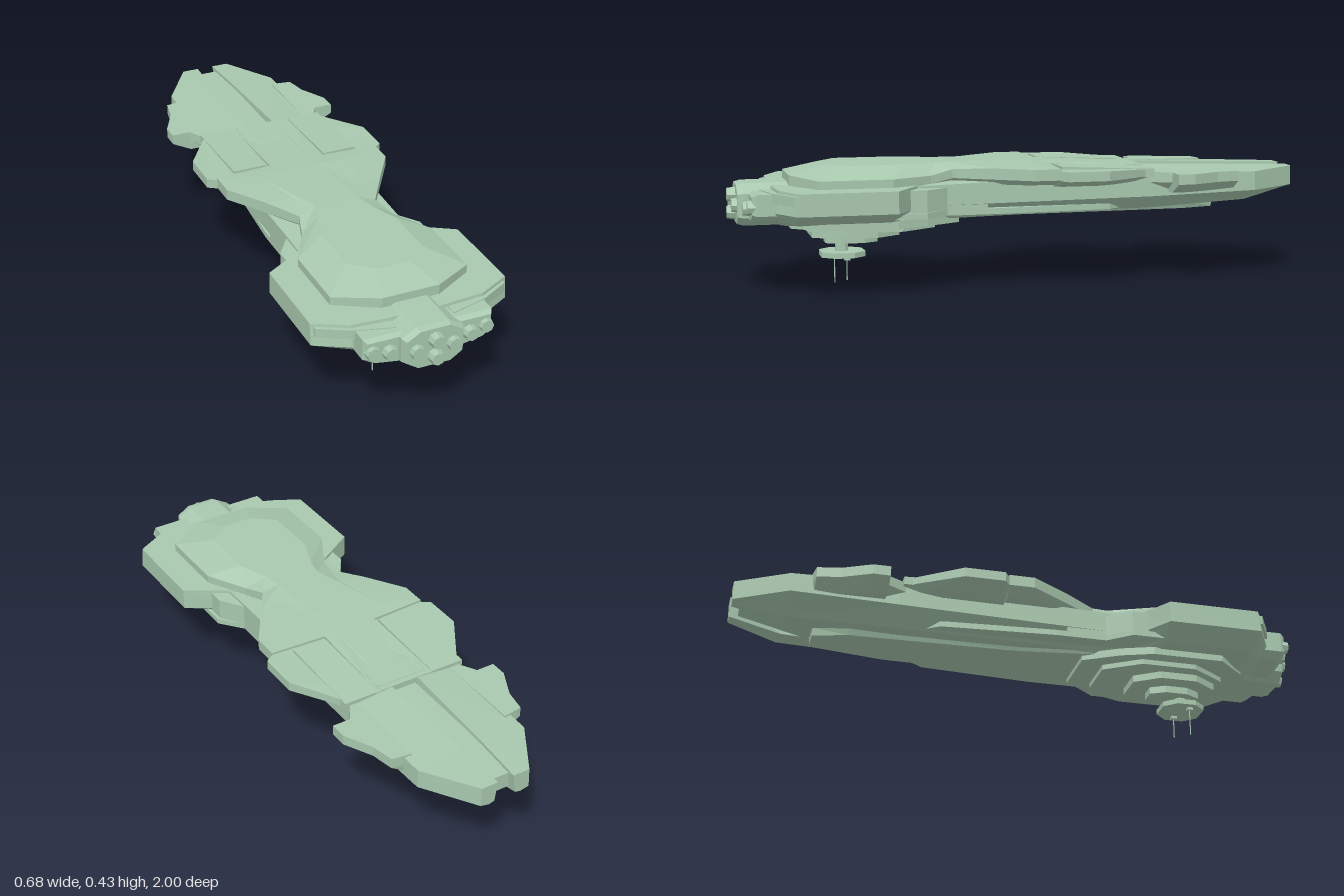
import * as THREE from 'three';

const hullGreen = new THREE.MeshStandardMaterial({ color: 0xa8c8ae, flatShading: true });
hullGreen.name = 'hullGreen';

// Closed skin over rings of [x, y, z]; the caps are flattened along the given axis.
function skin(rings, axis) {
  const pos = [];
  const tri = (a, b, c) => pos.push(...a, ...b, ...c);
  const n = rings[0].length;
  for (let r = 0; r + 1 < rings.length; r++) {
    const lo = rings[r], hi = rings[r + 1];
    for (let i = 0; i < n; i++) {
      const j = (i + 1) % n;
      tri(lo[i], lo[j], hi[j]);
      tri(lo[i], hi[j], hi[i]);
    }
  }
  const cap = (ring, last) => {
    const flat = ring.map(p => new THREE.Vector2(p[0], axis === 'y' ? p[2] : p[1]));
    for (const t of THREE.ShapeUtils.triangulateShape(flat, [])) {
      const [a, b, c] = [...t].sort((u, v) => u - v).map(i => ring[i]);
      last ? tri(a, b, c) : tri(a, c, b);
    }
  };
  cap(rings[0], false);
  cap(rings[rings.length - 1], true);
  // Turn the skin outward if its signed volume is negative
  let volume = 0;
  const p = i => new THREE.Vector3().fromArray(pos, i * 3);
  for (let i = 0; i < pos.length / 3; i += 3) volume += p(i).dot(p(i + 1).cross(p(i + 2)));
  if (volume < 0) {
    for (let i = 0; i < pos.length; i += 9) {
      const b = pos.slice(i + 3, i + 6);
      for (let k = 0; k < 3; k++) {
        pos[i + 3 + k] = pos[i + 6 + k];
        pos[i + 6 + k] = b[k];
      }
    }
  }
  const g = new THREE.BufferGeometry();
  g.setAttribute('position', new THREE.Float32BufferAttribute(pos, 3));
  g.computeVertexNormals();
  return g;
}

// Half plan outline (x > 0, bow to stern) mirrored to a full one
const full = half => [...half, ...half.map(([x, z]) => [-x, z]).reverse()];

// Plan outline stacked at levels [y or y(x, z), x scale, z scale, z centre]
const tiers = (outline, levels) => skin(levels.map(([y, kx = 1, kz = 1, zc = 0]) =>
  outline.map(([x, z]) => [x * kx, typeof y === 'function' ? y(Math.abs(x), z) : y, zc + (z - zc) * kz])), 'y');

// Cross-sections [z, [[x, y], ...]] joined along z
const loft = sections => skin(sections.map(([z, pts]) => pts.map(([x, y]) => [x, y, z])), 'z');

export function createModel() {
  const model = new THREE.Group();
  const add = (name, geo, x = 0, y = 0, z = 0) => {
    const m = new THREE.Mesh(geo, hullGreen);
    m.name = name;
    m.position.set(x, y, z);
    model.add(m);
    return m;
  };
  const box = (name, w, y0, y1, z0, z1, x = 0) =>
    add(name, new THREE.BoxGeometry(w, y1 - y0, z1 - z0), x, (y0 + y1) / 2, (z0 + z1) / 2);

  // Bow hull halves, with slanted undersides and a groove between them
  const bow = [
    [-1, [[0.04, 0.31], [0.06, 0.305], [0.092, 0.312], [0.09, 0.38], [0.03, 0.38]]],
    [-0.82, [[0.04, 0.265], [0.1, 0.265], [0.205, 0.31], [0.205, 0.376], [0.04, 0.385]]],
    [-0.45, [[0.04, 0.25], [0.13, 0.25], [0.21, 0.3], [0.21, 0.382], [0.05, 0.397]]],
    [0.3, [[0.04, 0.245], [0.13, 0.245], [0.2, 0.29], [0.2, 0.36], [0.05, 0.37]]],
    [0.6, [[0.04, 0.245], [0.13, 0.245], [0.2, 0.29], [0.2, 0.35], [0.05, 0.35]]],
  ];
  for (const s of [1, -1]) {
    const side = s > 0 ? 'left' : 'right';
    const flip = pts => pts.map(([x, y]) => [x * s, y]);
    add(side + 'BowHull', loft(bow.map(([z, pts]) => [z, flip(pts)])));

    // Swept pod beside the bow
    add(side + 'BowPod', tiers(flip([[0.18, -0.75], [0.25, -0.74], [0.265, -0.66], [0.315, -0.56],
      [0.315, -0.5], [0.25, -0.5], [0.21, -0.43], [0.18, -0.43]]),
    [[0.315, 0.78], [0.35], [0.385]]));

    // Shoulder plate and the raised block on it
    add(side + 'ShoulderPlate', tiers(flip([[0.08, -0.44], [0.21, -0.44], [0.33, -0.25], [0.33, -0.11],
      [0.3, -0.09], [0.08, -0.05]]), [[0.345, 0.7], [0.372], [(x, z) => 0.405 - Math.max(0, -z - 0.25) * 0.05]]));
    add(side + 'ShoulderBlock', tiers(flip([[0.11, -0.44], [0.23, -0.44], [0.23, -0.11], [0.11, -0.11]]),
      [[0.37], [(x, z) => (z < -0.3 ? 0.398 : 0.413)]]));

    // Ledges low on the flank
    add(side + 'FlankLedge', tiers(flip([[0.1, -0.4], [0.17, -0.3], [0.2, 0.1], [0.2, 0.28],
      [0.265, 0.36], [0.265, 0.5], [0.1, 0.55]]), [[0.255], [0.275]]));
    add(side + 'NeckBlock', tiers(flip([[0.1, 0.14], [0.2, 0.14], [0.2, 0.28], [0.255, 0.36],
      [0.255, 0.5], [0.1, 0.5]]), [[0.275], [0.35]]));

    // Side strips on the stern corners
    add(side + 'SternStrip', tiers(flip([[0.1, 0.8], [0.33, 0.77], [0.33, 0.81], [0.23, 0.865], [0.1, 0.9]]),
      [[0.318], [0.35]]));

    // Outer engine block
    add(side + 'EngineBlock', loft([[0.78, flip([[0.08, 0.235], [0.19, 0.255], [0.222, 0.275], [0.222, 0.347], [0.08, 0.347]])],
      [0.92, flip([[0.08, 0.235], [0.19, 0.255], [0.222, 0.275], [0.222, 0.347], [0.08, 0.347]])],
      [0.935, flip([[0.08, 0.245], [0.185, 0.262], [0.212, 0.28], [0.212, 0.337], [0.08, 0.337]])]]));
  }
  add('grooveFloor', loft([
    [-0.97, [[-0.042, 0.315], [0.042, 0.315], [0.042, 0.37], [-0.042, 0.37]]],
    [-0.75, [[-0.042, 0.262], [0.042, 0.262], [0.042, 0.375], [-0.042, 0.375]]],
    [0.3, [[-0.042, 0.25], [0.042, 0.25], [0.042, 0.385], [-0.042, 0.385]]],
  ]));
  add('keel', tiers(full([[0.04, -0.72], [0.08, -0.6], [0.1, 0], [0.15, 0.3], [0.15, 0.6]]),
    [[0.235, 0.85], [0.262]]));

  // Stern body with a sloped belly
  const stern = full([[0.12, 0.3], [0.2, 0.38], [0.34, 0.47], [0.34, 0.8], [0.23, 0.86], [0.1, 0.87]]);
  add('sternBody', tiers(stern, [[0.225, 0.38, 0.88, 0.58], [0.248, 0.74, 0.95, 0.58], [0.272, 0.9], [0.285], [0.36, 1, 0.97, 0.5]]));

  // Hourglass upper deck: broad forward wings, narrow neck, domed rear
  const deck = full([[0.09, -0.44], [0.1, -0.38], [0.1, -0.1], [0.3, -0.09], [0.3, 0], [0.21, 0.14], [0.14, 0.25],
    [0.165, 0.33], [0.24, 0.47], [0.24, 0.72], [0.1, 0.8]]);
  const rim = (x, z) => (z < -0.3 ? 0.398 : z < 0.2 ? 0.413 : z < 0.3 ? 0.405 : z < 0.78 ? 0.388 : 0.395);
  const crown = (x, z) => (z < -0.3 ? 0.402 : z < 0.2 ? 0.418 : 0.425);
  add('upperDeck', tiers(deck, [[0.355, 0.82, 0.98, 0.3], [(x, z) => (z < 0.3 ? 0.375 : 0.36)], [rim], [crown, 0.56, 0.8, 0.2]]));
  box('deckSpine', 0.18, 0.35, 0.4, -0.42, 0.2);

  // Central engine block
  const octagon = k => [[0.06, 0.225], [0.105, 0.255], [0.105, 0.338], [0.055, 0.368],
    [-0.055, 0.368], [-0.105, 0.338], [-0.105, 0.255], [-0.06, 0.225]].map(([x, y]) => [x * k, 0.296 + (y - 0.296) * k]);
  add('centreEngineBlock', loft([[0.78, octagon(1)], [0.95, octagon(1)], [0.972, octagon(0.92)]]));

  // Engine nozzles
  const nozzles = [[0, 0.325, 0.995], [0, 0.265, 0.995]];
  for (const s of [1, -1]) nozzles.push([s * 0.063, 0.296, 0.985], [s * 0.138, 0.293, 0.955], [s * 0.195, 0.303, 0.945]);
  for (const [x, y, z] of nozzles) {
    add('engineNozzle', new THREE.CylinderGeometry(0.022, 0.027, 0.035, 8).rotateX(Math.PI / 2), x, y, z - 0.0125);
    add('engineDome', new THREE.SphereGeometry(0.018, 8, 4, 0, Math.PI * 2, 0, Math.PI / 2)
      .scale(1, 0.3, 1).rotateX(Math.PI / 2), x, y, z - 0.001);
  }

  // Stepped belly tower: half width, bottom, top, z start, z end
  const steps = [[0.16, 0.2, 0.226, 0.3, 0.74], [0.115, 0.175, 0.23, 0.42, 0.72], [0.055, 0.15, 0.21, 0.49, 0.67],
    [0.021, 0.12, 0.15, 0.59, 0.632], [0.076, 0.102, 0.12, 0.535, 0.685]];
  for (const [w, y0, y1, z0, z1] of steps) {
    const c = (z1 - z0) * 0.28;
    add('bellyStep', tiers(full([[w * 0.5, z0], [w, z0 + c], [w, z1 - c], [w * 0.5, z1]]), [[y0], [y1]]));
  }
  add('bellyApron', tiers(full([[0.1, 0.22], [0.17, 0.34], [0.21, 0.45], [0.21, 0.7], [0.12, 0.8]]), [[0.218], [0.245]]));

  // Antennas under the sensor disc
  for (const [x, z, y0] of [[-0.044, 0.63, 0], [0.044, 0.6, 0.022]]) {
    box('antennaBase', 0.02, 0.092, 0.103, z - 0.01, z + 0.01, x);
    add('antenna', new THREE.CylinderGeometry(0.002, 0.002, 0.095 - y0, 6), x, (0.095 + y0) / 2, z);
  }
  return model;
}
